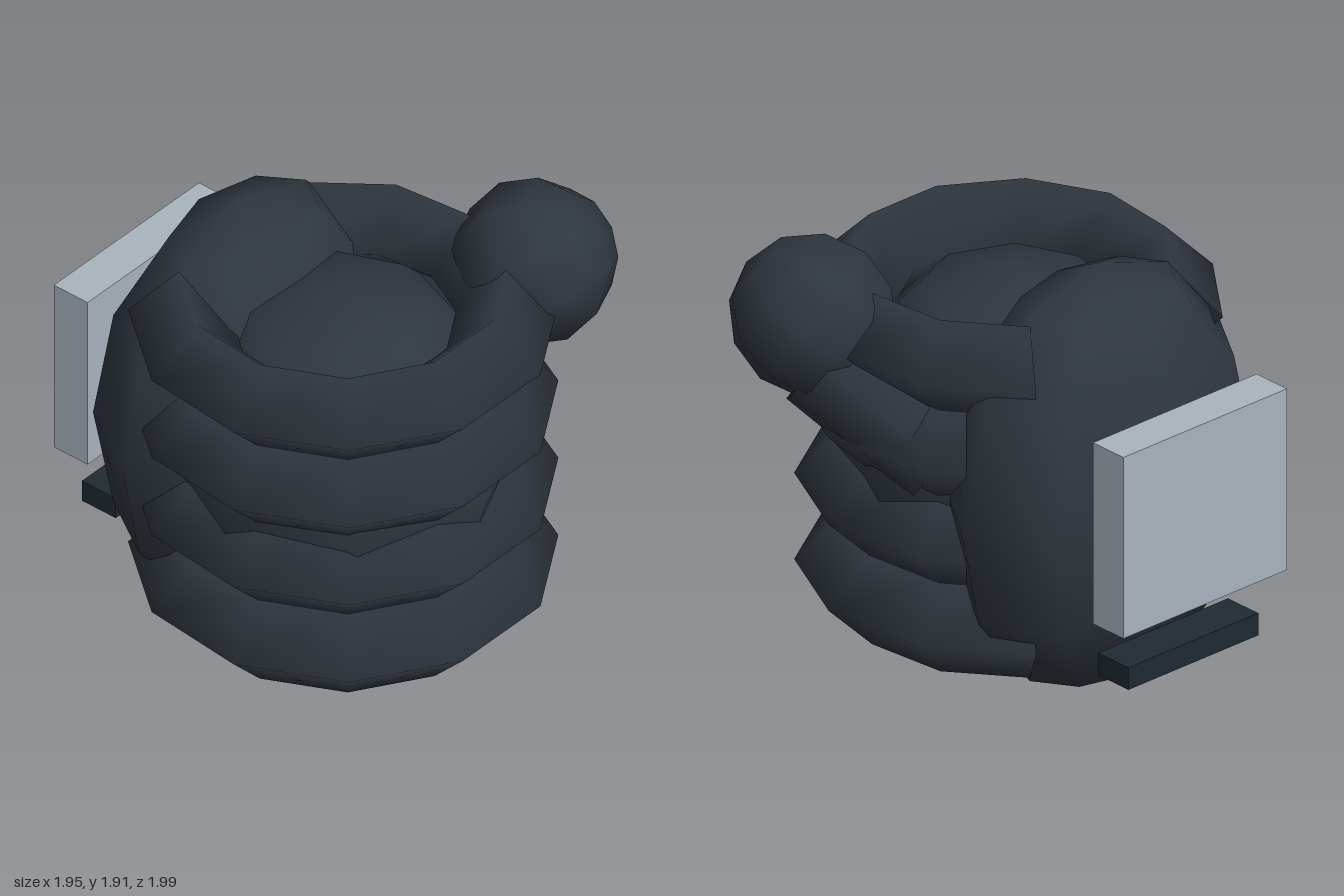
import * as THREE from 'three';

const skin = new THREE.MeshStandardMaterial({ color: 0x2e363e, side: THREE.DoubleSide });
const plateMat = new THREE.MeshStandardMaterial({ color: 0xa9b4be });
const barMat = new THREE.MeshStandardMaterial({ color: 0x1f2a31 });

export function createModel() {
  const hand = new THREE.Group();
  hand.name = 'grippingHand';

  function add(name, geometry, material, x, y, z) {
    const mesh = new THREE.Mesh(geometry, material);
    mesh.name = name;
    mesh.position.set(x, y, z);
    hand.add(mesh);
    return mesh;
  }

  const cx = -0.11, midY = 0.947;

  // Four curled fingers: open rings with a diamond section, closed by the palm
  const arc = Math.PI * 1.6;
  const finger = new THREE.TorusGeometry(0.665, 0.208, 4, 9, arc);
  finger.rotateZ(Math.PI / 2 - arc / 2);
  finger.rotateX(Math.PI / 2);
  for (let i = 0; i < 4; i++) {
    add(`finger${i + 1}`, finger, skin, cx, 0.36 + i * 0.391, 0.155);
  }

  // Palm at the back and the rounded core inside the grip
  add('palm', new THREE.SphereGeometry(1, 8, 6), skin, cx, midY, -0.37).scale.set(0.76, 0.945, 0.49);
  add('gripCore', new THREE.SphereGeometry(0.75, 8, 6), skin, cx, midY, 0.15);

  // Thumb: slanted stem with a bulbous tip
  const dir = new THREE.Vector3(0.26, 0.38, 0.47).normalize();
  const tilt = new THREE.Quaternion().setFromUnitVectors(new THREE.Vector3(0, 1, 0), dir);
  add('thumbStem', new THREE.CylinderGeometry(0.275, 0.275, 0.64, 8), skin, 0.485, 1.26, 0.23)
    .quaternion.copy(tilt);
  add('thumbTip', new THREE.SphereGeometry(0.345, 8, 6), skin, 0.64, 1.58, 0.52)
    .quaternion.copy(tilt);

  // Plate and bar on the back of the hand
  add('backPlate', new THREE.BoxGeometry(0.9, 0.82, 0.18), plateMat, cx, 0.99, -0.91);
  add('backBar', new THREE.BoxGeometry(0.715, 0.1, 0.18), barMat, cx, 0.34, -0.84);

  return hand;
}
